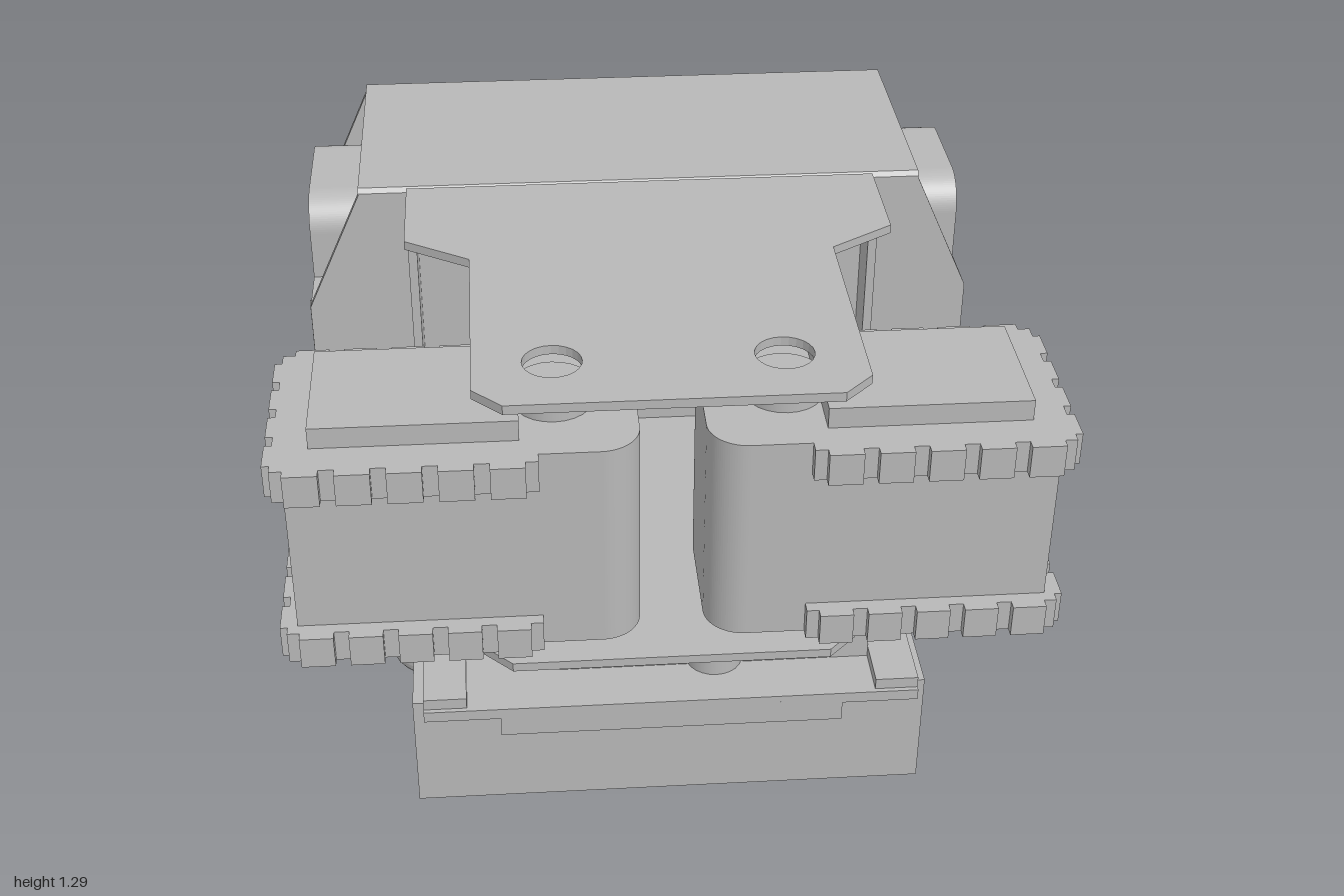
import * as THREE from 'three';

export function createModel() {
  const model = new THREE.Group();
  const grey = new THREE.MeshStandardMaterial({ color: 0xb8b8b8, side: THREE.DoubleSide });
  grey.name = 'grey metal';

  const add = (name, geometry) => {
    const mesh = new THREE.Mesh(geometry, grey);
    mesh.name = name;
    model.add(mesh);
    return mesh;
  };
  // Box given by its limits on each axis
  const box = (name, x0, x1, y0, y1, z0, z1) =>
    add(name, new THREE.BoxGeometry(x1 - x0, y1 - y0, z1 - z0)
      .translate((x0 + x1) / 2, (y0 + y1) / 2, (z0 + z1) / 2));
  // Box on both sides of the model
  const pair = (name, x0, x1, ...rest) => {
    box(name + 'Left', x0, x1, ...rest);
    box(name + 'Right', -x1, -x0, ...rest);
  };
  const polygon = (points) => new THREE.Shape(points.map(([x, y]) => new THREE.Vector2(x, y)));
  const symmetric = (half) => polygon([...half, ...half.map(([x, y]) => [-x, y]).reverse()]);
  const punch = (shape, x, y, r) => {
    const hole = new THREE.Path();
    hole.absarc(x, y, r, 0, Math.PI * 2, true);
    shape.holes.push(hole);
    return shape;
  };
  // Rectangle with rounded corners; radii in order lower left, lower right, upper right, upper left
  const rounded = (x0, x1, y0, y1, [a, b, c, d]) => {
    const s = new THREE.Shape();
    s.moveTo(x0 + a, y0);
    s.lineTo(x1 - b, y0);
    if (b) s.absarc(x1 - b, y0 + b, b, -Math.PI / 2, 0);
    s.lineTo(x1, y1 - c);
    if (c) s.absarc(x1 - c, y1 - c, c, 0, Math.PI / 2);
    s.lineTo(x0 + d, y1);
    if (d) s.absarc(x0 + d, y1 - d, d, Math.PI / 2, Math.PI);
    s.lineTo(x0, y0 + a);
    if (a) s.absarc(x0 + a, y0 + a, a, Math.PI, Math.PI * 1.5);
    return s;
  };
  const extrude = (shape, depth, bevel = 0) => new THREE.ExtrudeGeometry(shape, {
    depth: depth - 2 * bevel, curveSegments: 12, bevelEnabled: bevel > 0,
    bevelSize: bevel, bevelThickness: bevel, bevelOffset: -bevel, bevelSegments: 4,
  }).translate(0, 0, bevel);
  // Extrusions of a plan (x, z), a front outline (x, y) and a side outline (z, y)
  const plan = (name, shape, y0, y1, bevel) =>
    add(name, extrude(shape, y1 - y0, bevel).rotateX(Math.PI / 2).translate(0, y1, 0));
  const front = (name, shape, z0, z1) => add(name, extrude(shape, z1 - z0).translate(0, 0, z0));
  const side = (name, shape, x0, x1) =>
    add(name, extrude(shape, x1 - x0).rotateY(-Math.PI / 2).translate(x1, 0, 0));

  // Rounded base with two feet
  plan('base', rounded(-0.63, 0.585, -0.53, 0.24, [0.1, 0.1, 0.1, 0.1]), 0.055, 0.37, 0.035);
  for (const x of [-0.49, 0.12])
    side('foot', polygon([[-0.14, 0], [-0.49, 0], [-0.525, 0.07], [-0.14, 0.07]].reverse()), x, x + 0.33);

  // Tray between base and hood
  box('trayFloor', -0.52, 0.52, 0.37, 0.39, -0.57, 0.2);
  box('trayCross', -0.79, 0.74, 0.37, 0.39, -0.49, -0.105);
  box('trayBack', -0.52, 0.52, 0.37, 0.5, -0.575, -0.555);
  box('trayFlangeRight', -0.79, -0.77, 0.37, 0.5, -0.49, -0.105);
  box('trayFlangeLeft', 0.725, 0.745, 0.37, 0.5, -0.49, -0.105);
  box('lowerMotor', -0.6, 0.6, 0.385, 0.5, -0.49, -0.105);

  // Hood: folded sheet with sloping upper corners and side flanges
  const hoodBack = symmetric([[0.77, 0.5], [0.77, 0.985], [0.64, 1.27]]);
  const hoodFront = symmetric([[0.72, 0.4], [0.72, 0.5], [0.77, 0.5], [0.77, 0.985], [0.64, 1.27]]);
  front('hoodFront', punch(hoodFront, 0, 0.965, 0.06), -0.03, -0.01);
  front('hoodBack', punch(hoodBack, 0, 1.02, 0.06), -0.595, -0.575);
  side('hoodTop', polygon([[-0.01, 1.265], [-0.01, 1.275], [-0.02, 1.285], [-0.585, 1.285],
    [-0.595, 1.275], [-0.595, 1.265]]), -0.64, 0.64);
  pair('hoodFrontFlange', 0.75, 0.77, 0.5, 0.985, -0.19, -0.01);
  pair('hoodBackFlange', 0.75, 0.77, 0.5, 0.985, -0.595, -0.51);

  // Motor within the hood, with a pivot lug at each end
  box('hoodMotor', -0.64, 0.64, 0.49, 1.13, -0.51, -0.16);
  for (const s of [1, -1]) {
    const lug = rounded(-0.525, -0.155, 0.85, 1.18, [0.1, 0.1, 0.08, 0.08]);
    const x = s > 0 ? 0.63 : -0.77;
    side('pivotLug', punch(lug, -0.34, 1.02, 0.07), x, x + 0.14);
    // Cheek block scooped out to follow the lug
    const cheek = new THREE.Shape();
    cheek.moveTo(-0.49, 0.545);
    cheek.lineTo(-0.195, 0.545);
    cheek.lineTo(-0.195, 0.9);
    cheek.absarc(-0.34, 1.02, 0.17, -0.7, Math.PI + 0.7, true);
    cheek.lineTo(-0.49, 0.9);
    const c = new THREE.Shape();
    c.moveTo(-0.49, 0.545);
    c.lineTo(-0.195, 0.545);
    c.lineTo(-0.195, 0.9);
    c.quadraticCurveTo(-0.34, 0.8, -0.49, 0.9);
    side('cheek', c, s > 0 ? 0.62 : -0.79, s > 0 ? 0.79 : -0.62);
  }

  // Rear hook: mounting flanges, two arms and a bent cover with a notch
  pair('hookFlange', 0.175, 0.295, 0.79, 1.13, -0.615, -0.595);
  const arm = [[-0.6, 1.13], [-0.85, 1.07], [-0.99, 0.885], [-0.885, 0.49], [-0.79, 0.515],
    [-0.695, 0.79], [-0.6, 0.79]];
  side('hookArmLeft', polygon(arm), 0.175, 0.195);
  side('hookArmRight', polygon(arm), -0.195, -0.175);
  const slope = (name, half, y0, z0, y1, z1) =>
    add(name, extrude(symmetric(half), 0.02).rotateX(Math.atan2(z1 - z0, y1 - y0)).translate(0, y0, z0));
  slope('hookUpperCover', [[0.2, 0], [0.2, 0.23], [0.07, 0.3]], 0.885, -1, 1.14, -0.845);
  slope('hookLowerCover', [[0.05, 0.2], [0.085, 0], [0.19, 0], [0.205, 0.414]], 0.485, -0.893, 0.885, -1);

  // Front channel bracket
  const shelf = () => symmetric([[0.53, 0], [0.53, 0.25], [0.39, 0.34], [0.39, 0.86], [0.33, 0.92]]);
  plan('upperShelf', punch(punch(shelf(), 0.23, 0.765, 0.06), -0.23, 0.765, 0.06), 1.27, 1.29);
  plan('lowerShelf', shelf(), 0.638, 0.658);
  front('channelBack', punch(symmetric([[0.53, 0.64], [0.53, 1.28]]), 0, 0.965, 0.06), -0.005, 0.015);
  pair('channelFlange', 0.51, 0.53, 0.69, 1.235, 0, 0.105);

  // Two front motors with toothed rims
  const rims = [[0.74, 0.81], [1.13, 1.2]];
  for (const s of [1, -1]) {
    const span = (a, b) => (s > 0 ? [a, b] : [-b, -a]);
    const [x0, x1] = span(0.065, 0.755);
    const r = 0.08;
    plan('motorBody', rounded(x0, x1, 0.58, 0.955, s > 0 ? [r, 0, 0, r] : [0, r, r, 0]), 0.74, 1.2);
    for (const [y0, y1] of rims) {
      box('rim', ...span(0.265, 0.775), y0, y1, 0.56, 0.98);
      for (let i = 0; i < 5; i++) {
        const x = 0.29 + i * 0.098;
        box('rimToothFront', ...span(x, x + 0.068), y0, y1, 0.97, 1);
        box('rimToothBack', ...span(x, x + 0.068), y0, y1, 0.54, 0.57);
      }
      for (let i = 0; i < 4; i++) {
        const z = 0.59 + i * 0.1;
        box('rimToothSide', ...span(0.77, 0.79), y0, y1, z, z + 0.07);
      }
    }
    box('motorCap', ...span(0.3, 0.705), 1.19, 1.245, 0.62, 0.905);
    box('motorBottom', ...span(0.38, 0.705), 0.7, 0.75, 0.62, 0.905);
    add('upperHub', new THREE.CylinderGeometry(0.08, 0.08, 0.05, 24).translate(s * 0.23, 1.215, 0.765));
    add('lowerHub', new THREE.CylinderGeometry(0.08, 0.08, 0.1, 24).translate(s * 0.23, 0.7, 0.765));
  }

  // Lower front box, its lid and the spacer beneath the bracket
  box('frontBox', -0.545, 0.545, 0.255, 0.525, 0.305, 0.875);
  box('frontBoxBottom', -0.545, 0.545, 0.205, 0.26, 0.305, 0.805);
  box('lid', -0.52, 0.52, 0.52, 0.545, 0.25, 0.93);
  box('lidFrontLip', -0.36, 0.36, 0.475, 0.53, 0.87, 0.93);
  box('lidBackLip', -0.36, 0.36, 0.475, 0.53, 0.25, 0.31);
  pair('lidCorner', 0.43, 0.52, 0.54, 0.57, 0.3, 0.92);
  box('spacer', -0.4, 0.6, 0.575, 0.638, 0.28, 0.6);
  box('spacerFront', -0.235, 0.43, 0.54, 0.638, 0.4, 0.81);
  add('spacerPost', new THREE.CylinderGeometry(0.06, 0.06, 0.1, 24).translate(0.1, 0.59, 0.79));

  return model;
}
